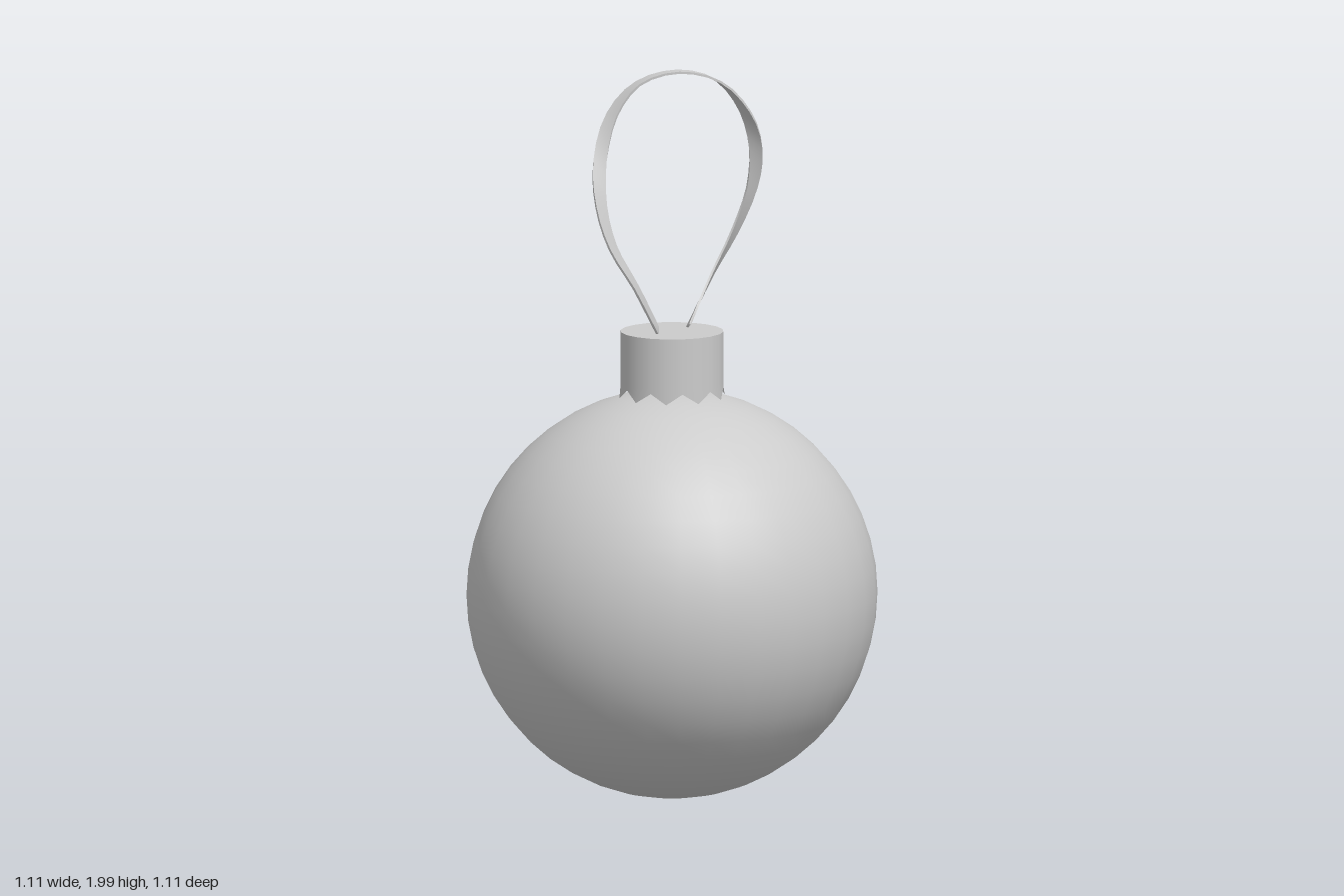
import * as THREE from 'three';

const material = new THREE.MeshStandardMaterial({ color: 0xcccccc, side: THREE.DoubleSide });

function part(name, geometry, parent) {
  const mesh = new THREE.Mesh(geometry, material);
  mesh.name = name;
  parent.add(mesh);
  return mesh;
}

// Flat strip swept along a curve; its width direction turns by the given angles (degrees, in plan)
function ribbonGeometry(points, angles, width, thickness, steps) {
  const curve = new THREE.CatmullRomCurve3(points);
  const positions = [], indices = [];
  for (let i = 0; i <= steps; i++) {
    const t = i / steps;
    const p = curve.getPoint(t), tangent = curve.getTangent(t);
    const f = t * (angles.length - 1), k = Math.min(Math.floor(f), angles.length - 2);
    const a = THREE.MathUtils.degToRad(THREE.MathUtils.lerp(angles[k], angles[k + 1], f - k));
    const w = new THREE.Vector3(Math.cos(a), 0, Math.sin(a));
    w.addScaledVector(tangent, -w.dot(tangent)).normalize();
    const n = new THREE.Vector3().crossVectors(tangent, w);
    // Four faces with their own corners keep the long edges crisp
    const corners = [[1, 1], [-1, 1], [-1, -1], [1, -1]].map(([s, r]) =>
      p.clone().addScaledVector(w, s * width / 2).addScaledVector(n, r * thickness / 2));
    for (let j = 0; j < 4; j++) {
      positions.push(...corners[j].toArray(), ...corners[(j + 1) % 4].toArray());
      if (i < steps) {
        const b = i * 8 + j * 2;
        indices.push(b, b + 1, b + 8, b + 1, b + 9, b + 8);
      }
    }
  }
  // End caps
  const e = steps * 8;
  indices.push(0, 4, 2, 0, 6, 4, e, e + 2, e + 4, e, e + 4, e + 6);
  const g = new THREE.BufferGeometry();
  g.setAttribute('position', new THREE.Float32BufferAttribute(positions, 3));
  g.setIndex(indices);
  g.computeVertexNormals();
  return g;
}

export function createModel() {
  const model = new THREE.Group();
  model.name = 'bauble';

  // Ball
  part('ball', new THREE.SphereGeometry(0.557, 32, 24), model).position.y = 0.56;

  // Metal cap: a collar with a zigzag lower rim, closed by a disc
  const cap = new THREE.Group();
  cap.name = 'cap';
  model.add(cap);
  const sides = 20, top = 1.28, radius = 0.14;
  const collar = new THREE.CylinderGeometry(radius, radius, 0.16, sides, 2, true);
  collar.translate(0, top - 0.08, 0);
  const pos = collar.attributes.position;
  for (let i = 0; i < pos.count; i++) {
    const row = Math.floor(i / (sides + 1)), column = i % (sides + 1);
    if (row === 1) pos.setY(i, 1.14);
    if (row === 2) {
      const tooth = column % 2 === 1;
      pos.setY(i, tooth ? 1.1 : 1.128);
      const flare = tooth ? 1.04 : 1.0;
      pos.setX(i, pos.getX(i) * flare);
      pos.setZ(i, pos.getZ(i) * flare);
    }
  }
  part('capCollar', collar, cap);
  const disc = new THREE.CircleGeometry(radius, sides);
  disc.rotateX(-Math.PI / 2);
  part('capTop', disc, cap).position.y = top;

  // Twisted hanging loop, from its left foot over the top to its right foot
  const path = [
    [-0.05, 1.285, -0.006], [-0.14, 1.42, -0.008], [-0.2, 1.53, -0.035], [-0.21, 1.64, -0.068],
    [-0.185, 1.76, -0.095], [-0.13, 1.88, -0.1], [-0.065, 1.96, -0.065], [0.02, 1.99, 0.005],
    [0.11, 1.96, 0.07], [0.185, 1.87, 0.1], [0.235, 1.76, 0.093], [0.25, 1.65, 0.065],
    [0.22, 1.53, 0.03], [0.155, 1.42, 0.008], [0.058, 1.288, 0.008],
  ].map((p) => new THREE.Vector3(...p));
  const widthAngles = [-30, -25, -10, 10, 45, 85, 115, 127, 115, 85, 45, 10, -10, -30, -45];
  part('hangingLoop', ribbonGeometry(path, widthAngles, 0.036, 0.006, 42), model);

  return model;
}
